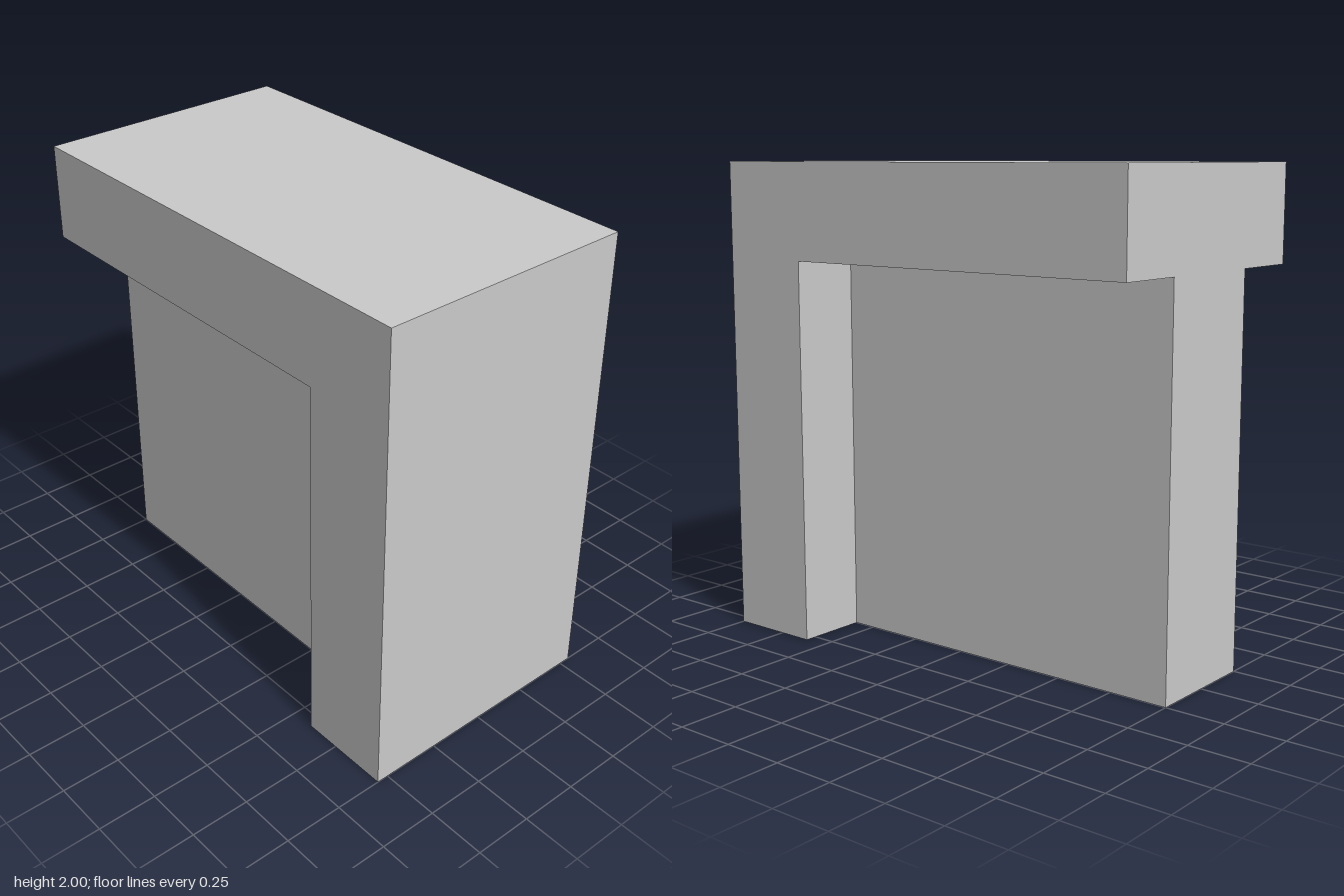
import * as THREE from 'three';

const DEPTH = 1.1, PANEL = 0.5;

export function createModel() {
  const group = new THREE.Group();
  const material = new THREE.MeshStandardMaterial({ color: 0xcccccc, flatShading: true });

  // Thick corner frame: top beam and one upright in a single piece
  const outline = new THREE.Shape([
    [1, 0], [1, 2], [-1, 2], [-1, 1.6], [0.6, 1.6], [0.6, 0],
  ].map(([x, y]) => new THREE.Vector2(x, y)));
  const frameGeometry = new THREE.ExtrudeGeometry(outline, { depth: DEPTH, bevelEnabled: false });
  frameGeometry.translate(0, 0, -DEPTH / 2);
  const frame = new THREE.Mesh(frameGeometry, material);
  frame.name = 'cornerFrame';

  // Thinner wall panel, recessed equally from front and back
  const panel = new THREE.Mesh(new THREE.BoxGeometry(1.6, 1.6, PANEL), material);
  panel.position.set(-0.2, 0.8, 0);
  panel.name = 'wallPanel';

  group.add(frame, panel);
  return group;
}
